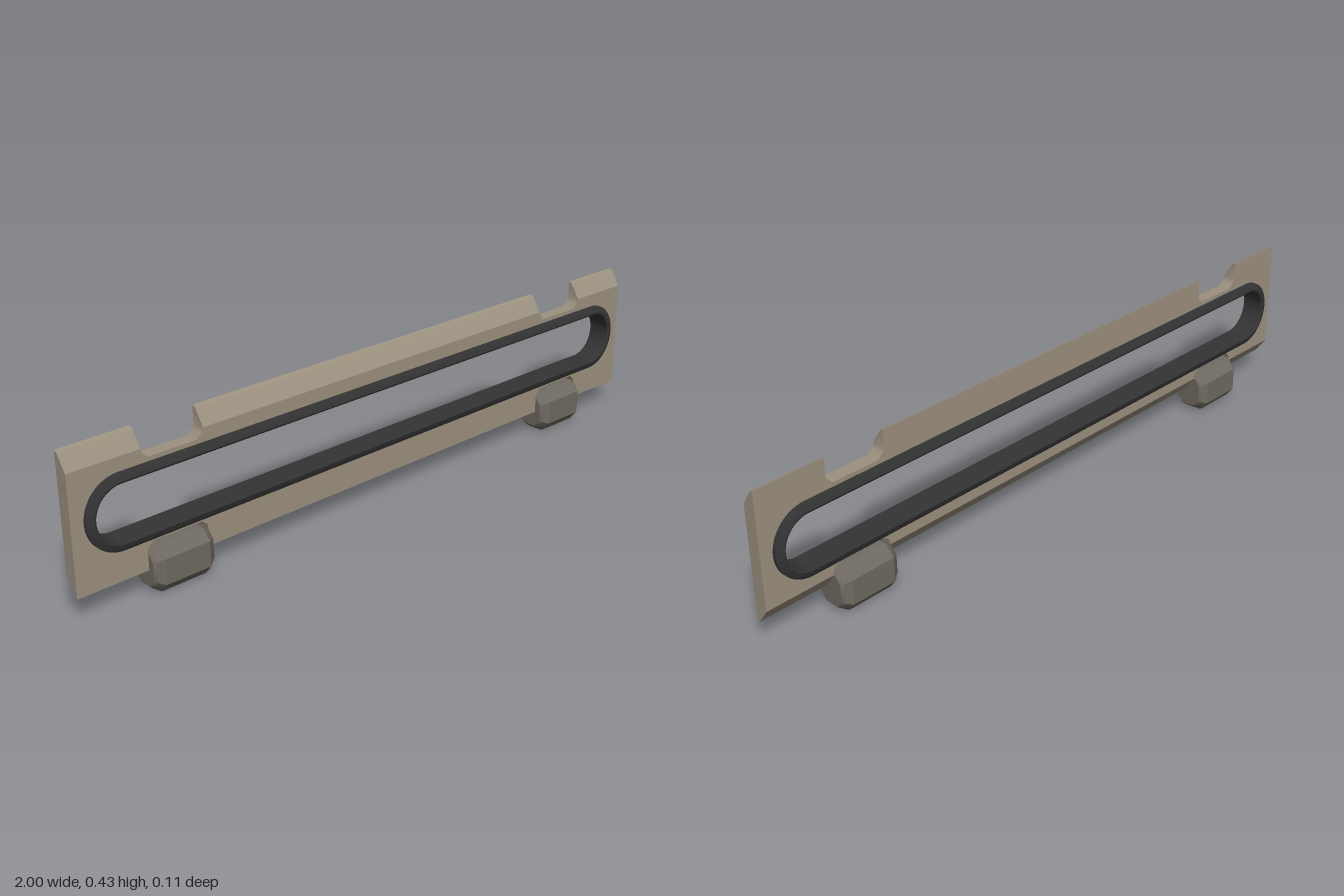
import * as THREE from 'three';
import { toCreasedNormals } from 'three/addons/utils/BufferGeometryUtils.js';
import { ConvexGeometry } from 'three/addons/geometries/ConvexGeometry.js';

const material = (name, color) => {
  const m = new THREE.MeshStandardMaterial({ color });
  m.name = name;
  return m;
};

const SLOT_Y = 0.2475, SLOT_X = 0.865; // slot centre height, centres of its round ends
const FRONT = 0.02, BACK = -0.018;

// Piecewise linear lookup through [z, y] points with falling z
function heightAt(points, z) {
  for (let i = 1; i < points.length; i++) {
    const [z0, y0] = points[i - 1], [z1, y1] = points[i];
    if (z >= z1 - 1e-6) return y0 + (y1 - y0) * (z0 - z) / (z0 - z1);
  }
  return points[points.length - 1][1];
}

// Slotted plate, notched above and below, with bevelled long edges
function plateGeometry() {
  const half = [
    [1, 0.065], [1, 0.433], [0.8, 0.433], [0.8, 0.382], [0.795, 0.372], [0.78, 0.359],
    [0.64, 0.359], [0.625, 0.372], [0.62, 0.382], [0.62, 0.433],
  ];
  const lower = [
    [0.62, 0.065], [0.62, 0.118], [0.625, 0.128], [0.64, 0.139],
    [0.78, 0.139], [0.795, 0.128], [0.8, 0.118], [0.8, 0.065],
  ];
  const mirror = (list) => list.map(([x, y]) => [-x, y]).reverse();
  const outline = [...half, ...mirror(half), ...mirror(lower), ...lower];
  const shape = new THREE.Shape(outline.map(([x, y]) => new THREE.Vector2(x, y)));

  const hole = new THREE.Path();
  hole.absarc(SLOT_X, SLOT_Y, 0.09, -Math.PI / 2, Math.PI / 2, false);
  hole.absarc(-SLOT_X, SLOT_Y, 0.09, Math.PI / 2, Math.PI * 1.5, false);
  hole.closePath();
  shape.holes.push(hole);

  const g = new THREE.ExtrudeGeometry(shape, {
    depth: FRONT - BACK, steps: 10, bevelEnabled: false, curveSegments: 24,
  });
  g.translate(0, 0, BACK);
  // Cut the top and bottom edges to their slanted section
  const top = [[FRONT, 0.385], [-0.009, 0.43], [BACK, 0.433]];
  const bottom = [[FRONT, 0.065], [0.013, 0.067], [BACK, 0.11]];
  const p = g.attributes.position;
  for (let i = 0; i < p.count; i++) {
    const z = p.getZ(i);
    p.setY(i, Math.max(heightAt(bottom, z), Math.min(heightAt(top, z), p.getY(i))));
  }
  return toCreasedNormals(g, 0.5);
}

// Round gasket stretched into a long slot shape
function gasketGeometry() {
  const section = [
    [0.1, -0.028], [0.1, 0.028], [0.091, 0.033], [0.08, 0.036], [0.075, 0.033],
    [0.075, -0.033], [0.08, -0.036], [0.091, -0.033], [0.1, -0.028],
  ].map(([r, z]) => new THREE.Vector2(r, z));
  const n = 64;
  const g = new THREE.LatheGeometry(section, n, Math.PI / n);
  g.rotateX(Math.PI / 2);
  const p = g.attributes.position;
  for (let i = 0; i < p.count; i++) p.setX(i, p.getX(i) + Math.sign(p.getX(i)) * SLOT_X);
  g.translate(0, SLOT_Y, 0);
  return toCreasedNormals(g, 0.6);
}

// Chamfered block: octagonal sections that shrink towards both ends
function footGeometry() {
  const points = [];
  const sections = [[0.09, 0.038, 0.046], [0.083, 0.044, 0.053], [0.066, 0.056, 0.0645]];
  for (const [x, w, h] of sections) {
    const corners = [[w, h * 0.54], [w * 0.62, h * 0.94], [w * 0.42, h]];
    for (const [z, y] of corners)
      for (const sx of [-1, 1]) for (const sy of [-1, 1]) for (const sz of [-1, 1])
        points.push(new THREE.Vector3(sx * x, sy * y, sz * z));
  }
  return toCreasedNormals(new ConvexGeometry(points), 0.5);
}

export function createModel() {
  const model = new THREE.Group();
  model.name = 'slottedPanel';
  const add = (name, geometry, mat) => {
    const mesh = new THREE.Mesh(geometry, mat);
    mesh.name = name;
    model.add(mesh);
    return mesh;
  };

  add('plate', plateGeometry(), material('warm beige', 0x9c917f));
  add('slotGasket', gasketGeometry(), material('dark rubber', 0x343434));

  // Pair of feet under the lower notches
  const footMaterial = material('grey brown', 0x6f6a61);
  const foot = footGeometry();
  for (const [name, side] of [['leftFoot', 1], ['rightFoot', -1]])
    add(name, foot, footMaterial).position.set(side * 0.71, 0.0645, 0);

  return model;
}
